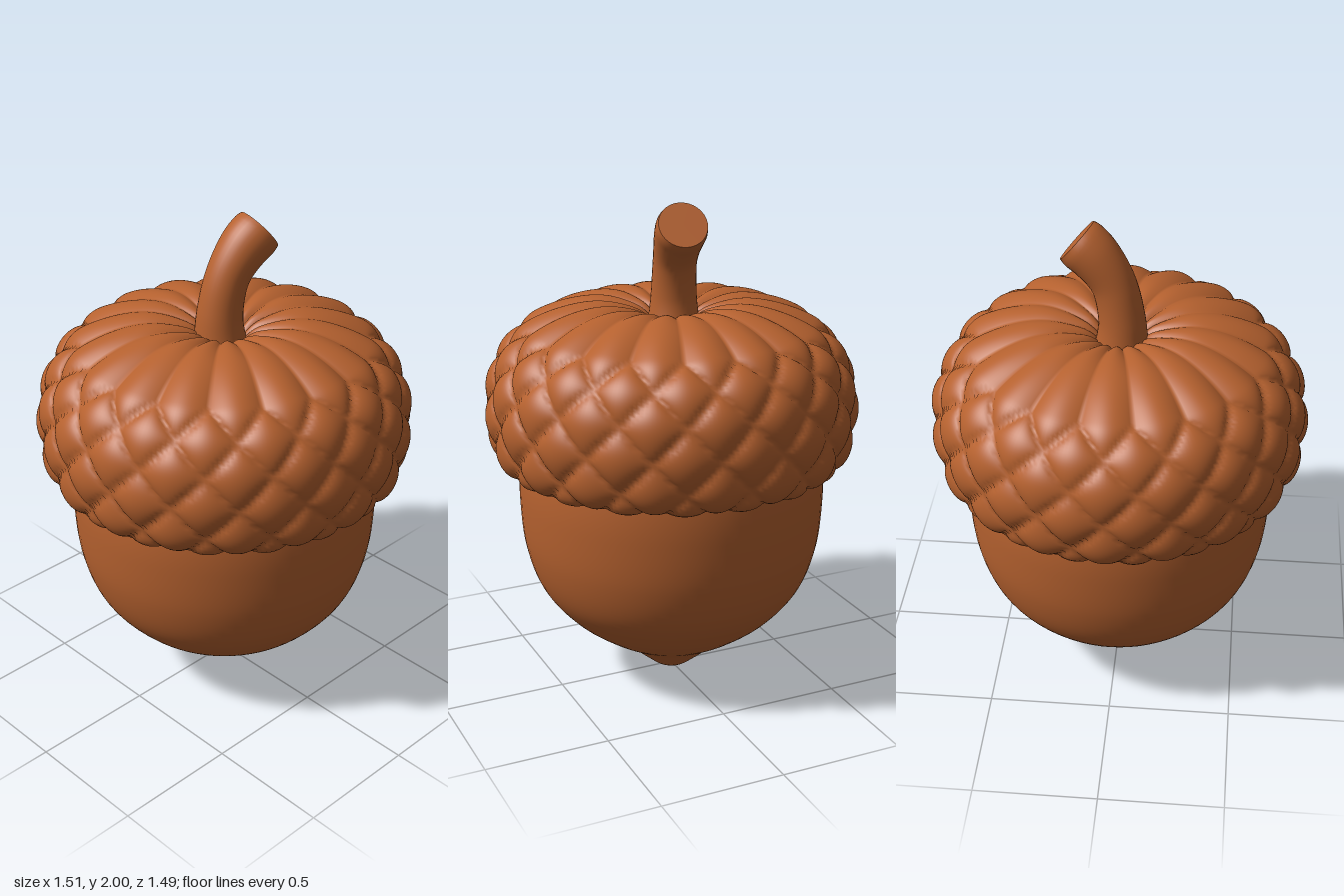
import * as THREE from 'three';
import { mergeVertices } from 'three/addons/utils/BufferGeometryUtils.js';

const shell = new THREE.MeshStandardMaterial({ color: 0xb5612f });
shell.name = 'acorn brown';

// Smooth profile through a few [radius, height] points, listed bottom to top
function profile(points, count) {
  const curve = new THREE.SplineCurve(points.map(([r, y]) => new THREE.Vector2(r, y)));
  return curve.getSpacedPoints(count).map(p => p.set(Math.max(p.x, 0), p.y));
}

// Weld the lathe seam so that shading runs smoothly around
function weld(geometry) {
  geometry.deleteAttribute('uv');
  geometry.deleteAttribute('normal');
  const welded = mergeVertices(geometry, 1e-5);
  welded.computeVertexNormals();
  return welded;
}

function part(name, geometry) {
  const mesh = new THREE.Mesh(geometry, shell);
  mesh.name = name;
  return mesh;
}

// Smooth nut with a blunt tip
function makeNut() {
  const points = profile([
    [0, 0.005], [0.06, 0.015], [0.12, 0.06], [0.2, 0.125], [0.33, 0.205], [0.45, 0.3],
    [0.55, 0.43], [0.605, 0.6], [0.622, 0.8], [0.615, 0.95], [0.59, 1.06],
  ], 60);
  return part('nut', weld(new THREE.LatheGeometry(points, 72)));
}

// Cap with diamond scales that run out into long petals around the stem
function makeCap() {
  const rows = 110, columns = 288, scales = 18;
  const points = profile([
    [0.57, 1.03], [0.61, 0.975], [0.66, 0.965], [0.695, 1.015], [0.716, 1.12], [0.716, 1.23],
    [0.685, 1.35], [0.61, 1.45], [0.5, 1.525], [0.38, 1.572], [0.27, 1.583], [0.16, 1.56],
    [0.09, 1.52], [0.05, 1.47],
  ], rows);
  const geometry = new THREE.LatheGeometry(points, columns);
  const pos = geometry.attributes.position, normal = geometry.attributes.normal;
  for (let i = 0; i < pos.count; i++) {
    const t = (i % (rows + 1)) / rows;
    const turn = (Math.floor(i / (rows + 1)) % columns) / columns * scales;
    // Slanted coordinates of the scale lattice, which stops at the petals
    const v = Math.min(Math.max(t - 0.06, 0), 0.5) * 5;
    const a = turn + v, b = turn - v;
    const pillow = Math.pow(Math.abs(Math.sin(Math.PI * a) * Math.sin(Math.PI * b)), 0.45);
    const fade = THREE.MathUtils.smoothstep(t, 0, 0.12)
      * (1 - 0.6 * THREE.MathUtils.smoothstep(t, 0.5, 0.75))
      * (1 - THREE.MathUtils.smoothstep(t, 0.9, 1));
    const d = 0.034 * pillow * fade;
    pos.setXYZ(i, pos.getX(i) + normal.getX(i) * d, pos.getY(i) + normal.getY(i) * d,
      pos.getZ(i) + normal.getZ(i) * d);
  }
  return part('cap', weld(geometry));
}

// Bent stem, flared at both ends, with a flat cut
function makeStem() {
  const group = new THREE.Group();
  group.name = 'stem';
  const path = new THREE.CatmullRomCurve3([
    [-0.01, 1.46, -0.015], [-0.01, 1.62, -0.015], [0.025, 1.77, -0.005],
    [0.095, 1.87, 0.01], [0.163, 1.926, 0.025],
  ].map(p => new THREE.Vector3(...p)));
  const steps = 32, sides = 32;
  const tube = new THREE.TubeGeometry(path, steps, 1, sides);
  const pos = tube.attributes.position, p = new THREE.Vector3();
  for (let i = 0; i < pos.count; i++) {
    const t = Math.floor(i / (sides + 1)) / steps;
    const radius = 0.086 + 0.03 * Math.pow(1 - t, 5) + 0.015 * THREE.MathUtils.smoothstep(t, 0.55, 0.95)
      - 0.006 * THREE.MathUtils.smoothstep(t, 0.95, 1);
    const centre = path.getPointAt(t);
    p.fromBufferAttribute(pos, i).sub(centre).multiplyScalar(radius).add(centre);
    pos.setXYZ(i, p.x, p.y, p.z);
  }
  group.add(part('stalk', weld(tube)));

  const cut = part('stemCut', new THREE.CircleGeometry(0.0955, sides));
  cut.position.copy(path.getPointAt(1));
  cut.quaternion.setFromUnitVectors(new THREE.Vector3(0, 0, 1), path.getTangentAt(1));
  group.add(cut);
  return group;
}

export function createModel() {
  const model = new THREE.Group();
  model.name = 'acorn';
  model.add(makeNut(), makeCap(), makeStem());
  return model;
}
